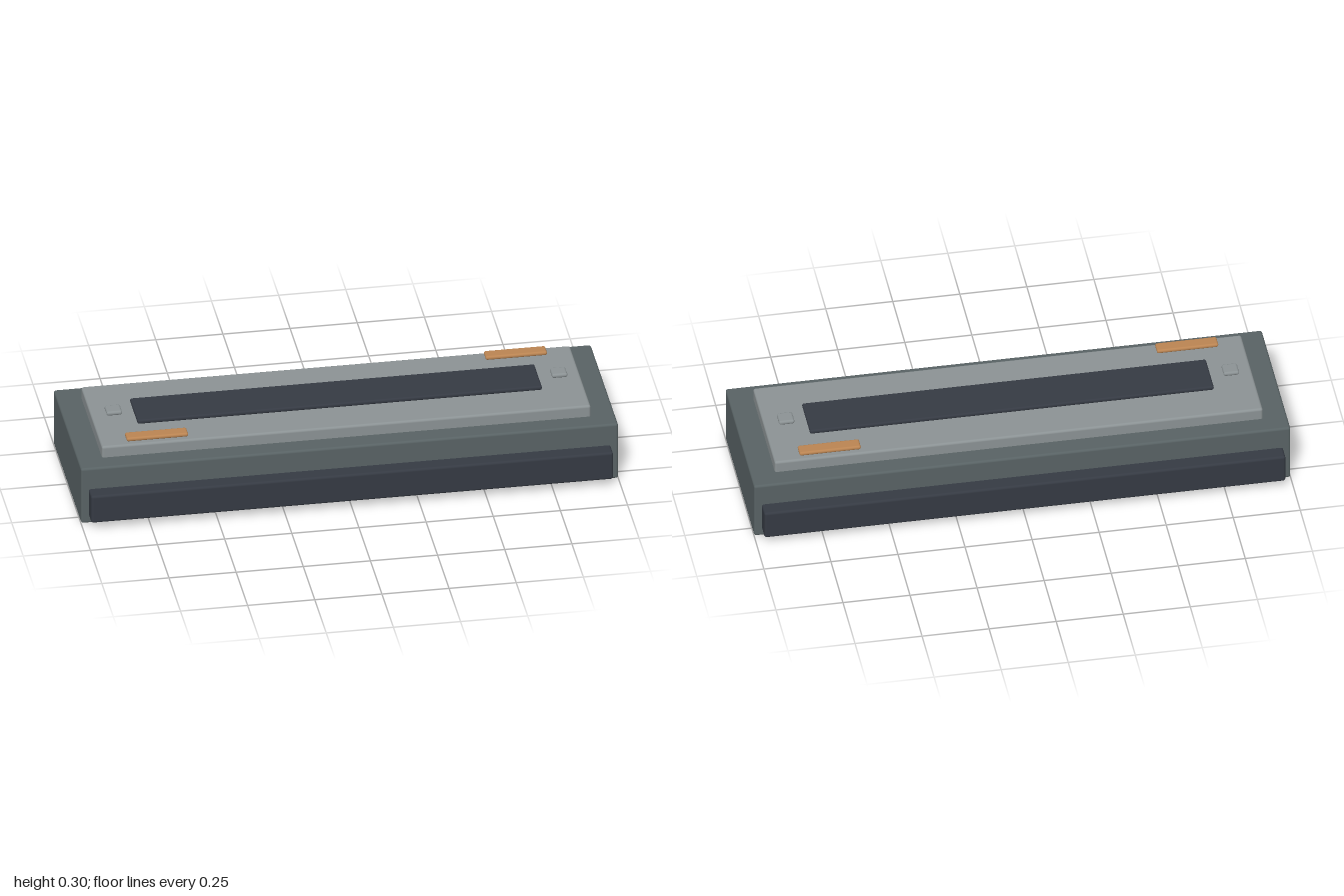
import * as THREE from 'three';
import { RoundedBoxGeometry } from 'three/addons/geometries/RoundedBoxGeometry.js';

const flat = (name, color) => {
  const m = new THREE.MeshStandardMaterial({ color });
  m.name = name;
  return m;
};

export function createModel() {
  const model = new THREE.Group();
  model.name = 'lowPlatform';

  const slate = flat('slate grey', 0x586264);
  const steel = flat('light grey', 0x8b9294);
  const charcoal = flat('charcoal', 0x353a43);
  const copper = flat('copper', 0xba8452);

  // Rounded block given by its size, lower face height and centre
  const block = (name, material, [w, h, d], [x, y, z], radius) => {
    const mesh = new THREE.Mesh(new RoundedBoxGeometry(w, h, d, 3, radius), material);
    mesh.name = name;
    mesh.position.set(x, y + h / 2, z);
    model.add(mesh);
  };

  // Main body and raised deck
  block('body', slate, [2, 0.23, 0.6], [0, 0, 0], 0.009);
  block('deck', steel, [1.82, 0.065, 0.456], [0, 0.21, 0], 0.009);

  // Inset strip along the deck
  block('deckStrip', charcoal, [1.506, 0.017, 0.171], [0, 0.275, 0], 0.007);

  // Mirrored details: side bumpers, copper bars on opposite corners, end studs
  for (const s of [1, -1]) {
    const side = s > 0 ? 'front' : 'back';
    block(side + 'Bumper', charcoal, [1.943, 0.113, 0.114], [0, 0.03, s * 0.3], 0.009);
    block(side + 'Bar', copper, [0.229, 0.016, 0.049], [-s * 0.7, 0.277, s * 0.187], 0.0075);
    block(s > 0 ? 'leftStud' : 'rightStud', steel, [0.058, 0.017, 0.057], [s * 0.829, 0.287, 0], 0.008);
  }

  return model;
}
